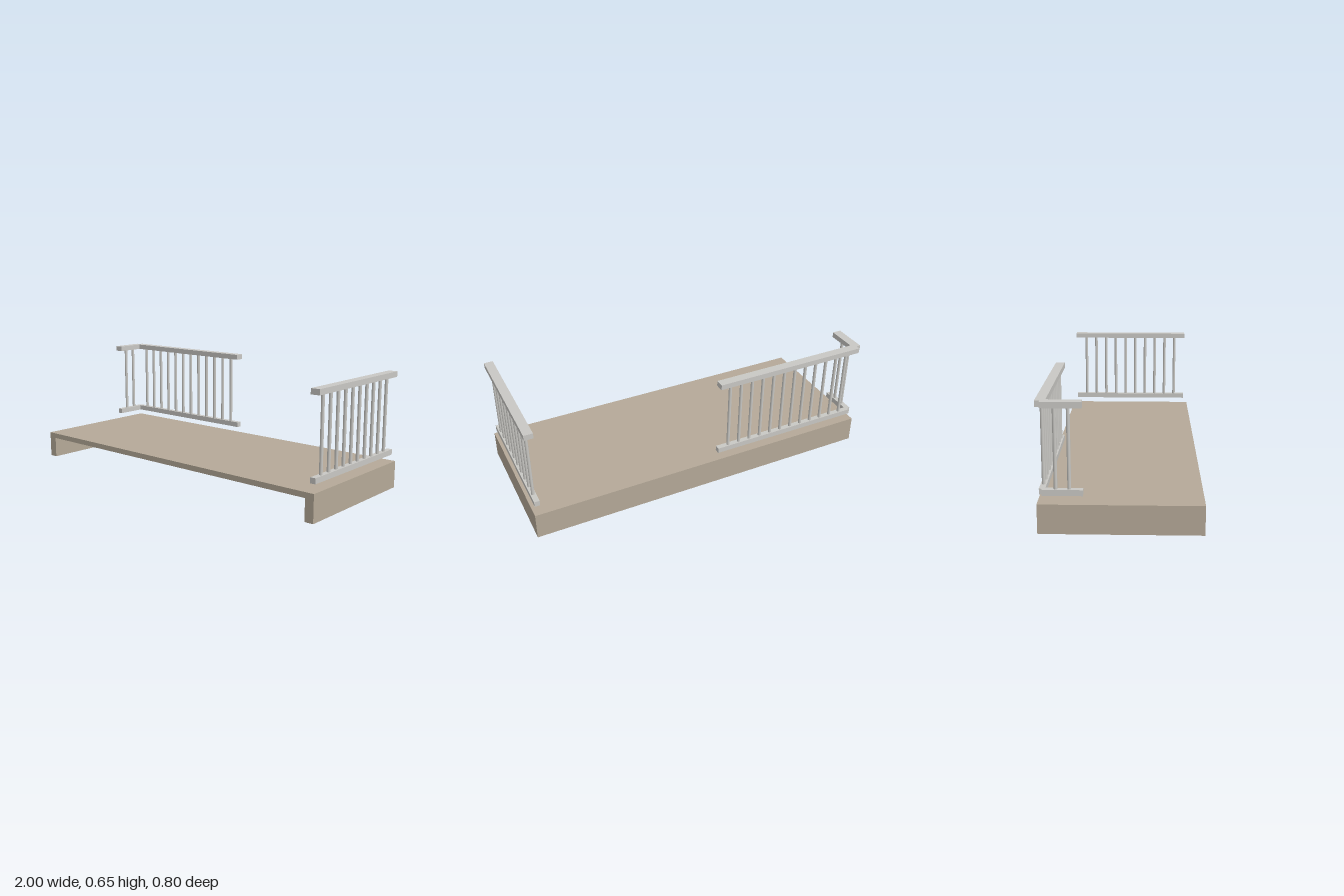
import * as THREE from 'three';

const deckMaterial = new THREE.MeshStandardMaterial({ color: 0xb5a998 });
deckMaterial.name = 'warm stone';
const railMaterial = new THREE.MeshStandardMaterial({ color: 0xc9c8c4 });
railMaterial.name = 'pale grey';

// Box given by its minimum and maximum corners
function box(name, min, max, material) {
  const size = max.map((v, i) => v - min[i]);
  const mesh = new THREE.Mesh(new THREE.BoxGeometry(...size), material);
  mesh.position.set(...max.map((v, i) => (v + min[i]) / 2));
  mesh.name = name;
  return mesh;
}

// Straight railing between two plan points [x, z], with evenly spaced balusters
function railing(name, [x0, z0], [x1, z1], balusters) {
  const group = new THREE.Group();
  group.name = name;
  const length = Math.hypot(x1 - x0, z1 - z0);
  const half = length / 2;
  group.add(
    box('handrail', [-half, 0.62, -0.025], [half, 0.65, 0.025], railMaterial),
    box('bottomRail', [-half, 0.19, -0.015], [half, 0.22, 0.015], railMaterial)
  );
  const post = new THREE.CylinderGeometry(0.009, 0.009, 0.4, 12, 1, true);
  for (let i = 1; i <= balusters; i++) {
    const mesh = new THREE.Mesh(post, railMaterial);
    mesh.position.set(-half + (length * i) / (balusters + 1), 0.42, 0);
    mesh.name = 'baluster';
    group.add(mesh);
  }
  group.position.set((x0 + x1) / 2, 0, (z0 + z1) / 2);
  group.rotation.y = -Math.atan2(z1 - z0, x1 - x0);
  return group;
}

export function createModel() {
  const model = new THREE.Group();
  model.name = 'balcony';

  // Floor slab with side legs, open at the front and underneath
  const section = new THREE.Shape([
    [-1, 0], [-0.95, 0], [-0.95, 0.12], [0.95, 0.12],
    [0.95, 0], [1, 0], [1, 0.15], [-1, 0.15],
  ].map(([x, y]) => new THREE.Vector2(x, y)));
  const slab = new THREE.Mesh(
    new THREE.ExtrudeGeometry(section, { depth: 0.75, bevelEnabled: false }),
    deckMaterial
  );
  slab.position.z = -0.35;
  slab.name = 'floorSlab';
  model.add(slab);
  model.add(box('backWall', [-1, 0, -0.4], [1, 0.15, -0.35], deckMaterial));

  // Railings: full left side, half of the back, short return on the right
  model.add(
    railing('leftRailing', [0.975, -0.375], [0.975, 0.375], 10),
    railing('backRailing', [-0.975, -0.375], [-0.08, -0.375], 12),
    railing('rightRailing', [-0.975, -0.375], [-0.975, -0.18], 2)
  );
  return model;
}
